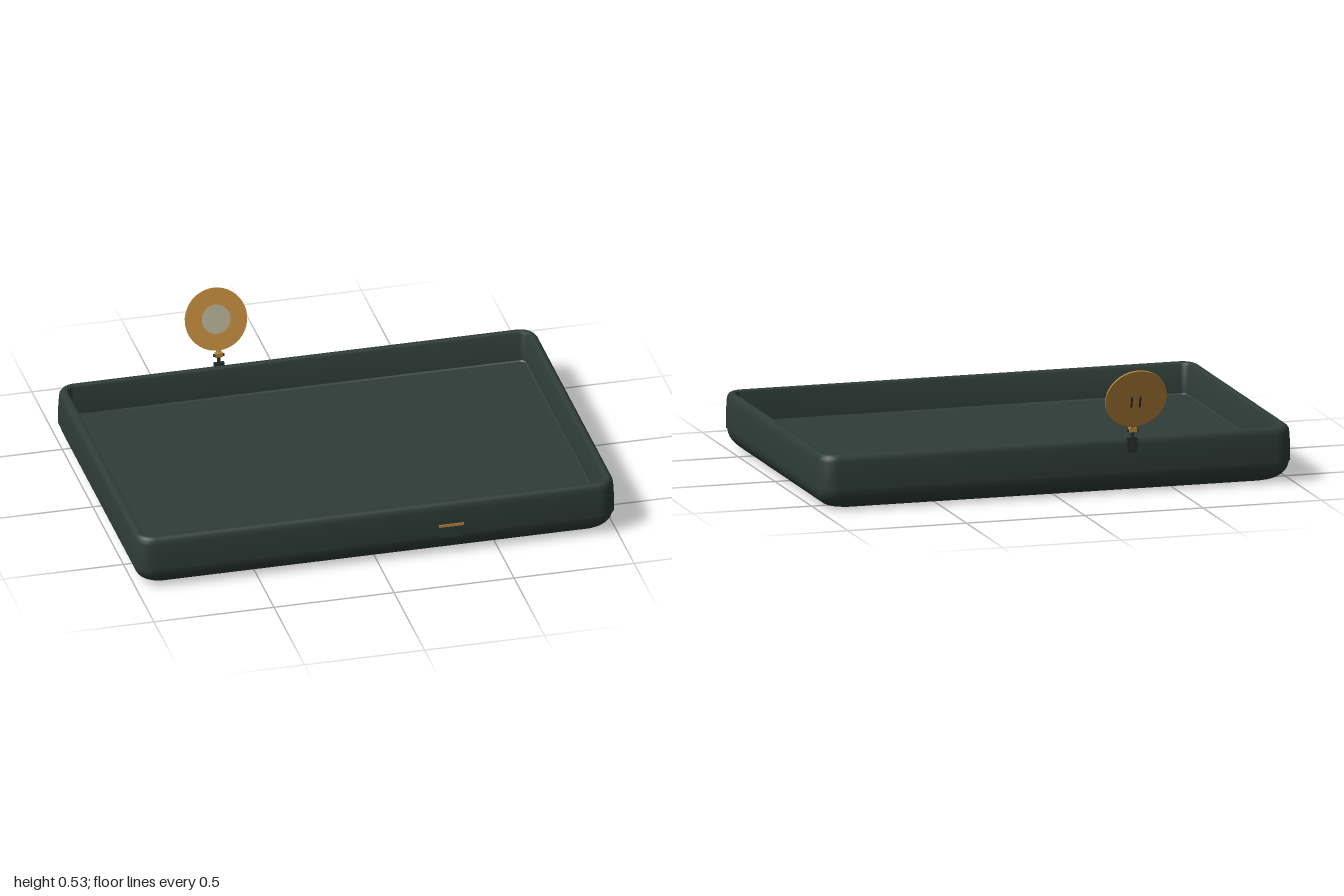
import * as THREE from 'three';
import { toCreasedNormals } from 'three/addons/utils/BufferGeometryUtils.js';

const HALF_X = 1, HALF_Z = 0.688, MID_Z = 0.05;

const mat = (name, color) => {
  const m = new THREE.MeshStandardMaterial({ color });
  m.name = name;
  return m;
};

// One rounded-rectangle ring, inset from the tray outline
function ring(y, inset, radius, segs = 8) {
  const pts = [];
  [[1, 1], [-1, 1], [-1, -1], [1, -1]].forEach(([sx, sz], q) => {
    for (let i = 0; i <= segs; i++) {
      const a = (q + i / segs) * Math.PI / 2;
      pts.push([
        sx * (HALF_X - inset - radius) + radius * Math.cos(a), y,
        MID_Z + sz * (HALF_Z - inset - radius) + radius * Math.sin(a)]);
    }
  });
  return pts;
}

// Skin a list of [y, inset, radius] rings, closing the first or last with a flat cap
function loft(profile, capFirst, capLast) {
  const rings = profile.map(p => ring(...p));
  const n = rings[0].length, pos = rings.flat(2), index = [];
  for (let i = 0; i < rings.length - 1; i++) {
    for (let j = 0; j < n; j++) {
      const k = (j + 1) % n;
      const a = i * n + j, b = i * n + k, c = b + n, d = a + n;
      index.push(a, d, b, b, d, c);
    }
  }
  const cap = (r, up) => {
    const centre = pos.length / 3;
    pos.push(0, profile[r][0], MID_Z);
    for (let j = 0; j < n; j++) {
      const a = r * n + j, b = r * n + (j + 1) % n;
      index.push(centre, up ? b : a, up ? a : b);
    }
  };
  if (capFirst) cap(0, false);
  if (capLast) cap(rings.length - 1, true);
  const g = new THREE.BufferGeometry();
  g.setAttribute('position', new THREE.Float32BufferAttribute(pos, 3));
  g.setIndex(index);
  return toCreasedNormals(g, 0.6);
}

export function createModel() {
  const model = new THREE.Group();
  const green = mat('dark green', 0x2f3d37);
  const gold = mat('brass', 0xc08a3e);
  const glass = mat('mirror silver', 0xb3ad92);
  const dark = mat('dark metal', 0x29302e);

  const add = (parent, name, geo, material, x = 0, y = 0, z = 0) => {
    const m = new THREE.Mesh(geo, material);
    m.name = name;
    m.position.set(x, y, z);
    parent.add(m);
    return m;
  };
  const box = (w, h, d) => new THREE.BoxGeometry(w, h, d);

  // Tray underside, curving in to a flat bottom
  const belly = [];
  for (let i = 0; i <= 8; i++) {
    const a = (i / 8) * Math.PI / 2;
    belly.push([0.085 * (1 - Math.cos(a)), 0.006 + 0.084 * (1 - Math.sin(a)), 0.07]);
  }
  belly.push([0.088, 0.008, 0.07]);
  add(model, 'trayBase', loft(belly, true, false), green);

  // Upright wall with rounded rim, inner wall and floor
  add(model, 'trayWall', loft([
    [0.085, 0.008, 0.07], [0.085, 0, 0.075], [0.14, 0, 0.075], [0.2, 0.003, 0.075],
    [0.217, 0.006, 0.072], [0.226, 0.013, 0.065], [0.23, 0.022, 0.055],
    [0.23, 0.03, 0.047], [0.226, 0.038, 0.04], [0.217, 0.042, 0.036],
    [0.105, 0.051, 0.025], [0.1, 0.056, 0.02],
  ], false, true), green);

  // Front latch strip and finger notch
  const front = MID_Z + HALF_Z;
  add(model, 'latchStrip', box(0.104, 0.011, 0.006), gold, 0.305, 0.132, front + 0.001);
  add(model, 'latchNotch', box(0.09, 0.012, 0.006), green, 0.305, 0.083, front - 0.003);

  // Clip on the back wall, with its hinge
  const stand = new THREE.Group();
  stand.name = 'mirrorStand';
  stand.position.set(-0.31, 0, 0);
  model.add(stand);
  add(stand, 'clipPlate', box(0.042, 0.062, 0.014), dark, 0, 0.2, -0.644);
  add(stand, 'clipPost', box(0.012, 0.07, 0.01), dark, 0, 0.235, -0.648);
  add(stand, 'hingeBlock', box(0.032, 0.018, 0.018), gold, 0, 0.264, -0.65);
  const pin = add(stand, 'hingePin', new THREE.CylinderGeometry(0.006, 0.006, 0.046, 12), dark, 0, 0.262, -0.65);
  pin.rotation.z = Math.PI / 2;

  // Tilted round disc with mirror in front and two slots behind
  const disc = new THREE.Group();
  disc.name = 'mirrorDisc';
  disc.position.set(0, 0.402, -0.697);
  disc.rotation.x = -0.324;
  stand.add(disc);
  const round = (name, r, h, material, z) => {
    add(disc, name, new THREE.CylinderGeometry(r, r, h, 40), material, 0, 0, z).rotation.x = Math.PI / 2;
  };
  round('discPlate', 0.129, 0.008, gold, 0);
  round('mirrorGlass', 0.06, 0.002, glass, 0.0045);
  add(disc, 'discNeck', box(0.018, 0.03, 0.007), gold, 0, -0.132, 0);
  for (const s of [-1, 1]) {
    add(disc, 'backSlot', box(0.007, 0.05, 0.003), dark, s * 0.018, -0.015, -0.0045);
  }
  return model;
}
